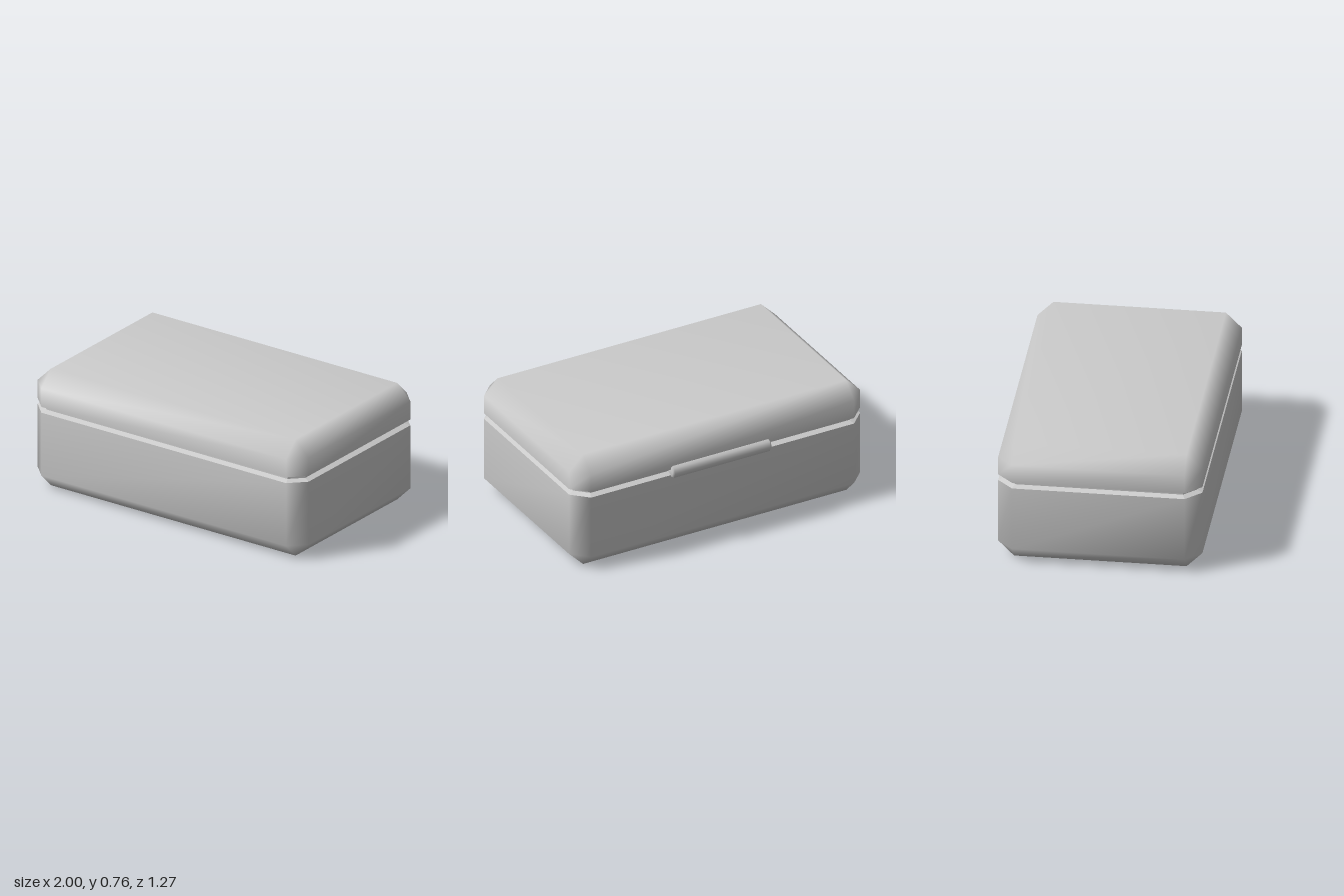
import * as THREE from 'three';
import { mergeVertices } from 'three/addons/utils/BufferGeometryUtils.js';

const HALF_X = 1, HALF_Z = 0.617, CENTER_Z = 0.017, CHAMFER = 0.096, GROOVE = 0.034;

// Eight-point outline: a rectangle inset by `inset` with corners cut by `cut`.
function outline(y, inset, cut) {
  const x = HALF_X - inset, z = HALF_Z - inset;
  return [
    [x, z - cut], [x, cut - z], [x - cut, -z], [cut - x, -z],
    [-x, cut - z], [-x, z - cut], [cut - x, z], [x - cut, z],
  ].map(([px, pz]) => new THREE.Vector3(px, y, pz + CENTER_Z));
}

// Skin a stack of outlines, listed bottom to top, with optional end caps.
function loft(rings, capBottom, capTop) {
  const pos = [];
  const tri = (a, b, c) => {
    if (a.distanceTo(b) < 1e-6 || b.distanceTo(c) < 1e-6 || c.distanceTo(a) < 1e-6) return;
    for (const p of [a, b, c]) pos.push(p.x, p.y, p.z);
  };
  for (let r = 0; r < rings.length - 1; r++) {
    const lo = rings[r], up = rings[r + 1];
    for (let i = 0; i < 8; i++) {
      const j = (i + 1) % 8;
      tri(lo[i], lo[j], up[j]);
      tri(lo[i], up[j], up[i]);
    }
  }
  const last = rings[rings.length - 1];
  for (let i = 1; i < 7; i++) {
    if (capBottom) tri(rings[0][0], rings[0][i + 1], rings[0][i]);
    if (capTop) tri(last[0], last[i], last[i + 1]);
  }
  const geo = new THREE.BufferGeometry();
  geo.setAttribute('position', new THREE.Float32BufferAttribute(pos, 3));
  const merged = mergeVertices(geo);
  merged.computeVertexNormals();
  return merged;
}

export function createModel() {
  const group = new THREE.Group();
  const smooth = new THREE.MeshStandardMaterial({ color: 0xcccccc });
  const flat = new THREE.MeshStandardMaterial({ color: 0xcccccc, flatShading: true });
  const add = (name, geo, mat) => {
    const mesh = new THREE.Mesh(geo, mat);
    mesh.name = name;
    group.add(mesh);
    return mesh;
  };

  // Lower case half, chamfered along the bottom and the upright corners
  add('base', loft([
    outline(0, CHAMFER, 0),
    outline(CHAMFER, 0, CHAMFER),
    outline(0.507, 0, CHAMFER),
  ], true, false), smooth);

  // Lid, chamfered along the top
  add('lid', loft([
    outline(0.545, 0, CHAMFER),
    outline(0.76 - CHAMFER, 0, CHAMFER),
    outline(0.76, CHAMFER, 0),
  ], false, true), smooth);

  // Recessed seam between the halves
  const innerCut = CHAMFER - GROOVE * 0.586;
  add('seam', loft([
    outline(0.507, 0, CHAMFER),
    outline(0.519, GROOVE, innerCut),
    outline(0.533, GROOVE, innerCut),
    outline(0.545, 0, CHAMFER),
  ], false, false), flat);

  // Eight-sided hinge barrel across the back seam, with chamfered ends
  const half = 0.34, r = 0.045;
  const profile = [[0, -half], [r - 0.012, -half], [r, 0.012 - half],
    [r, half - 0.012], [r - 0.012, half], [0, half]].map(p => new THREE.Vector2(...p));
  const hinge = add('hinge', new THREE.LatheGeometry(profile, 8), smooth);
  hinge.rotation.z = -Math.PI / 2;
  hinge.position.set(0.015, 0.527, -0.588);

  return group;
}
